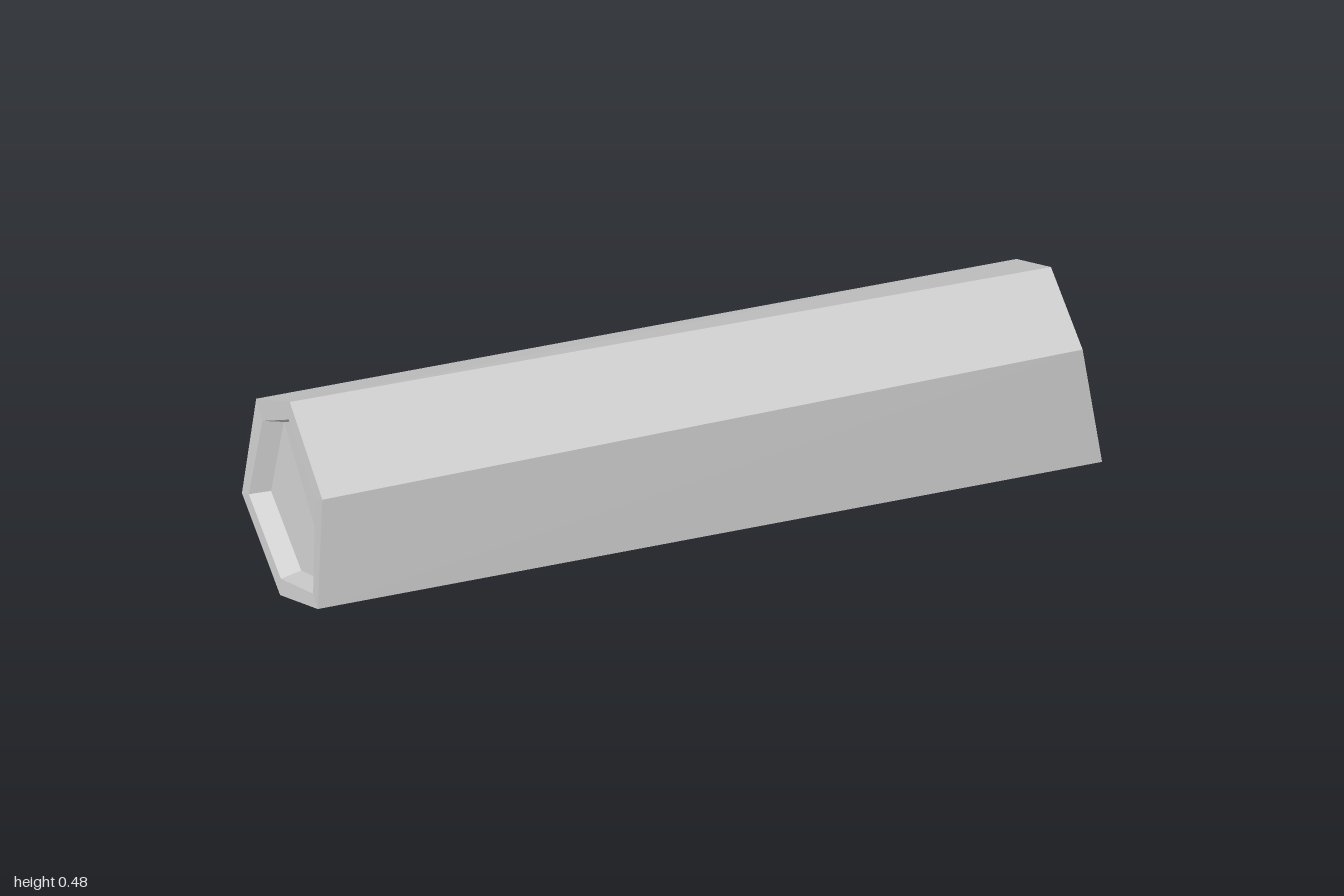
import * as THREE from 'three';

// Outer corners of each end, going round from the top ridge over the back.
const rightEnd = [
  [0.92, 0.48, 0.19], [0.955, 0.377, -0.02], [0.995, 0.11, -0.04],
  [0.97, 0, 0.245], [0.90, 0.085, 0.45], [0.865, 0.393, 0.42],
].map((p) => new THREE.Vector3(...p));
const leftEnd = [
  [-0.91, 0.48, -0.25], [-0.88, 0.372, -0.448], [-0.92, 0.123, -0.447],
  [-0.98, 0.004, -0.18], [-1, 0.08, 0.02], [-0.975, 0.365, 0],
].map((p) => new THREE.Vector3(...p));

const axis = new THREE.Vector3(0.975, 0, 0.22).normalize();
const depth = 0.05;

// Shrinks a ring towards its centre, with one factor per corner.
function inset(ring, factors, shift = 0) {
  const centre = new THREE.Vector3();
  ring.forEach((p) => centre.addScaledVector(p, 1 / ring.length));
  return ring.map((p, i) => centre.clone().lerp(p, factors[i]).addScaledVector(axis, shift));
}

// Wall of quads between two rings; faces outwards when b lies towards +x.
function wall(a, b) {
  const tris = [];
  a.forEach((p, i) => {
    const j = (i + 1) % a.length;
    tris.push(p, b[i], b[j], p, b[j], a[j]);
  });
  return tris;
}

// Fan across a ring from one chosen corner.
function fan(ring, start, flip) {
  const n = ring.length, tris = [];
  for (let k = 1; k < n - 1; k++) {
    const p = ring[(start + k) % n], q = ring[(start + k + 1) % n];
    tris.push(ring[start], ...(flip ? [q, p] : [p, q]));
  }
  return tris;
}

function part(name, points) {
  const geometry = new THREE.BufferGeometry().setFromPoints(points);
  geometry.computeVertexNormals();
  const material = new THREE.MeshStandardMaterial({ color: 0xcccccc, flatShading: true });
  const mesh = new THREE.Mesh(geometry, material);
  mesh.name = name;
  return mesh;
}

export function createModel() {
  const group = new THREE.Group();
  group.name = 'hexagonalLog';

  // Six long sides
  group.add(part('logSides', wall(leftEnd, rightEnd)));

  // Rim, recess wall and sunken floor at each end
  const ends = [
    { name: 'left', ring: rightEnd, side: 1, fanStart: 2, rim: [0.82, 0.81, 0.89, 0.83, 0.87, 0.78] },
    { name: 'right', ring: leftEnd, side: -1, fanStart: 4, rim: [0.82, 0.78, 0.84, 0.83, 0.86, 0.81] },
  ];
  for (const { name, ring, side, fanStart, rim } of ends) {
    const lip = inset(ring, rim);
    const floor = inset(lip, Array(6).fill(0.94), -side * depth);
    const join = (a, b) => (side > 0 ? wall(a, b) : wall(b, a));
    group.add(part(name + 'EndRim', join(ring, lip)));
    group.add(part(name + 'RecessWall', join(lip, floor)));
    group.add(part(name + 'RecessFloor', fan(floor, fanStart, side > 0)));
  }
  return group;
}
